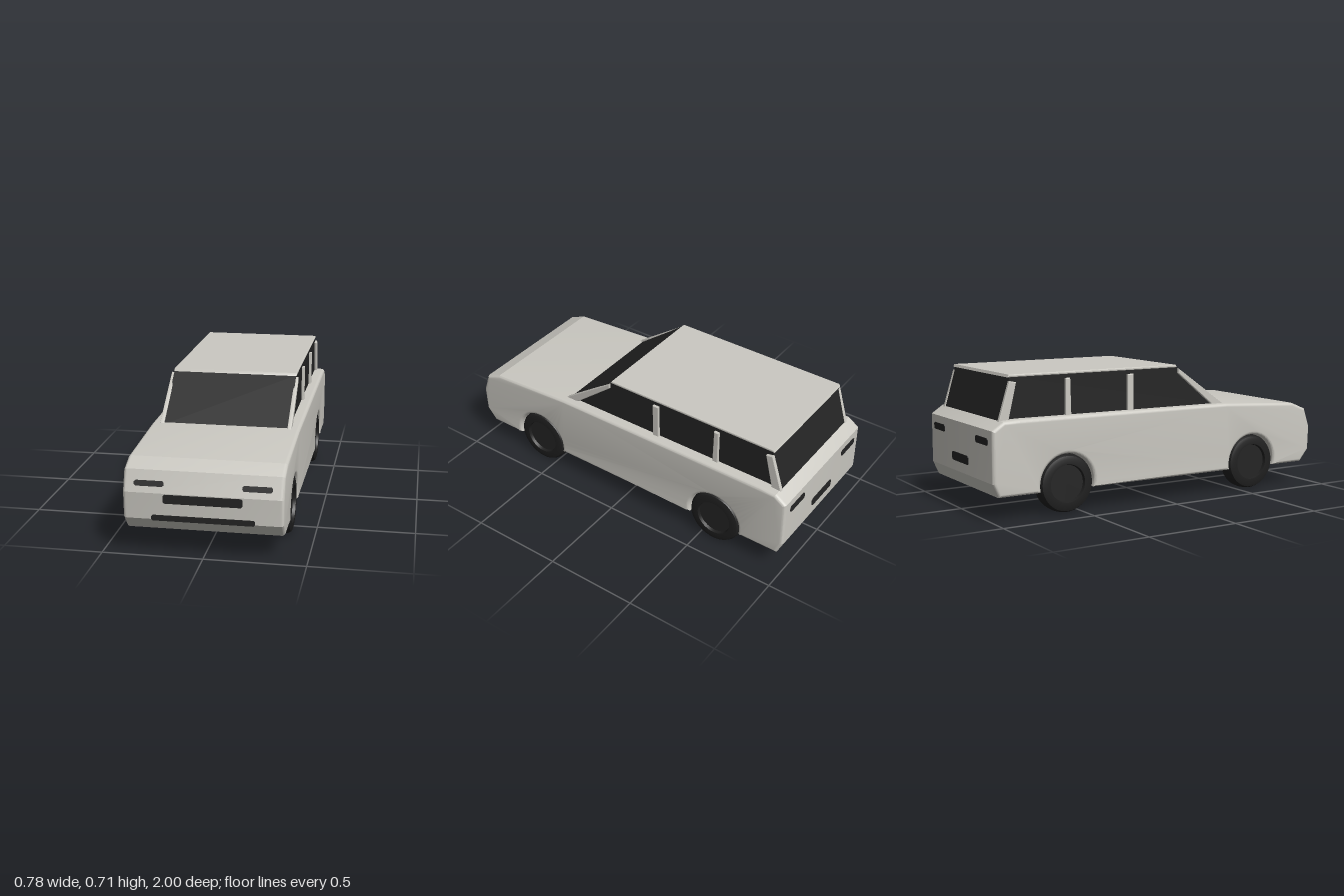
import * as THREE from 'three';
import { toCreasedNormals } from 'three/addons/utils/BufferGeometryUtils.js';

const paint = new THREE.MeshStandardMaterial({ color: 0xcbc9c2 });
paint.name = 'bodyPaint';
const dark = new THREE.MeshStandardMaterial({ color: 0x242424 });
dark.name = 'darkGlassAndTrim';
const rubber = new THREE.MeshStandardMaterial({ color: 0x1f1f1f });
rubber.name = 'rubber';

function addMesh(parent, name, geometry, material) {
  const mesh = new THREE.Mesh(geometry, material);
  mesh.name = name;
  parent.add(mesh);
  return mesh;
}

const polygon = (points) => new THREE.Shape(points.map(([a, b]) => new THREE.Vector2(a, b)));

// Extrude a (z, y) side profile across x from x0 to x1, edges rounded inside the outline.
function sideExtrude(shape, x0, x1, bevel, segments = 2) {
  const geometry = new THREE.ExtrudeGeometry(shape, {
    depth: x1 - x0 - 2 * bevel, curveSegments: 28, bevelEnabled: bevel > 0,
    bevelSize: bevel, bevelThickness: bevel, bevelOffset: -bevel, bevelSegments: segments,
  });
  geometry.rotateY(-Math.PI / 2);
  geometry.translate(x1 - bevel, 0, 0);
  return toCreasedNormals(geometry, 0.3);
}

// Thin plate with rounded corners, facing +z.
function plateGeometry(w, h) {
  const r = 0.008, x = w / 2, y = h / 2;
  const shape = polygon([
    [-x + r, -y], [x - r, -y], [x, -y + r], [x, y - r],
    [x - r, y], [-x + r, y], [-x, y - r], [-x, -y + r],
  ]);
  const geometry = new THREE.ExtrudeGeometry(shape, { depth: 0.008, bevelEnabled: false });
  geometry.translate(0, 0, -0.004);
  return geometry;
}

export function createModel() {
  const car = new THREE.Group();
  car.name = 'car';
  const axles = [0.58, -0.585];
  const axleY = 0.152, archR = 0.153, floor = 0.12;

  // Lower body with wheel arches running through its full width
  const body = new THREE.Shape();
  body.moveTo(0.935, floor);
  const dip = Math.asin((axleY - floor) / archR);
  for (const z of axles) {
    body.lineTo(z + archR * Math.cos(dip), floor);
    body.absarc(z, axleY, archR, -dip, Math.PI + dip, false);
  }
  for (const [z, y] of [
    [-0.965, floor], [-0.997, 0.19], [-0.997, 0.45], [-0.935, 0.492], [-0.85, 0.496],
    [0.4, 0.49], [0.87, 0.462], [0.96, 0.425], [0.997, 0.32], [0.992, 0.187],
  ]) body.lineTo(z, y);
  body.closePath();
  addMesh(car, 'body', sideExtrude(body, -0.39, 0.39, 0.018, 6), paint);

  // Cabin glass
  const cabin = polygon([[0.4, 0.48], [0.105, 0.702], [-0.875, 0.702], [-0.94, 0.48]]);
  addMesh(car, 'cabinGlass', sideExtrude(cabin, -0.332, 0.332, 0), dark);

  // Roof panel
  const roof = polygon([[0.11, 0.699], [0.1, 0.713], [-0.88, 0.713], [-0.886, 0.699]]);
  addMesh(car, 'roof', sideExtrude(roof, -0.335, 0.335, 0.005), paint);

  // Window pillars, mirrored on both sides
  const pillars = {
    frontPillar: [[0.41, 0.485], [0.11, 0.695], [0.11, 0.668], [0.335, 0.485]],
    middlePillar: [[-0.17, 0.485], [-0.17, 0.68], [-0.206, 0.68], [-0.206, 0.485]],
    rearDoorPillar: [[-0.54, 0.485], [-0.545, 0.68], [-0.572, 0.68], [-0.572, 0.485]],
    rearPillar: [[-0.89, 0.485], [-0.845, 0.675], [-0.882, 0.683], [-0.943, 0.485]],
  };
  for (const [name, points] of Object.entries(pillars)) {
    addMesh(car, name + 'Left', sideExtrude(polygon(points), 0.325, 0.346, 0.004), paint);
    addMesh(car, name + 'Right', sideExtrude(polygon(points), -0.346, -0.325, 0.004), paint);
  }

  // Wheels: rounded tyre with a recessed hub disc on the outer face
  const tyre = new THREE.LatheGeometry([
    [0, -0.05], [0.125, -0.05], [0.141, -0.045], [0.149, -0.03], [0.152, 0], [0.149, 0.03],
    [0.141, 0.045], [0.125, 0.05], [0.098, 0.05], [0.093, 0.03],
  ].map(([r, h]) => new THREE.Vector2(r, h)), 40);
  const tyreGeometry = toCreasedNormals(tyre, 0.6);
  const hubGeometry = new THREE.CylinderGeometry(0.094, 0.094, 0.02, 40);
  for (const side of [1, -1]) {
    for (const z of axles) {
      const wheel = new THREE.Group();
      wheel.name = (z > 0 ? 'front' : 'rear') + (side > 0 ? 'Left' : 'Right') + 'Wheel';
      addMesh(wheel, 'tyre', tyreGeometry, rubber);
      addMesh(wheel, 'hub', hubGeometry, dark).position.y = 0.024;
      wheel.rotation.z = -side * Math.PI / 2;
      wheel.position.set(side * 0.335, axleY, z);
      car.add(wheel);
    }
  }

  // Front trim: headlights, grille and lower intake
  const lamp = plateGeometry(0.145, 0.028);
  for (const side of [1, -1]) {
    const name = side > 0 ? 'Left' : 'Right';
    const headlight = addMesh(car, 'headlight' + name, lamp, dark);
    headlight.position.set(side * 0.262, 0.364, 0.984);
    headlight.rotation.x = -0.34;
    const tailLight = addMesh(car, 'tailLight' + name, plateGeometry(0.14, 0.036), dark);
    tailLight.position.set(side * 0.265, 0.392, -0.997);
    tailLight.rotation.y = Math.PI;
  }
  addMesh(car, 'grille', plateGeometry(0.385, 0.044), dark).position.set(0, 0.294, 0.997);
  addMesh(car, 'lowerIntake', plateGeometry(0.504, 0.028), dark).position.set(0, 0.196, 0.993);

  // Rear plate panel
  const panel = addMesh(car, 'rearPanel', plateGeometry(0.2, 0.045), dark);
  panel.position.set(0, 0.265, -0.997);
  panel.rotation.y = Math.PI;

  return car;
}
